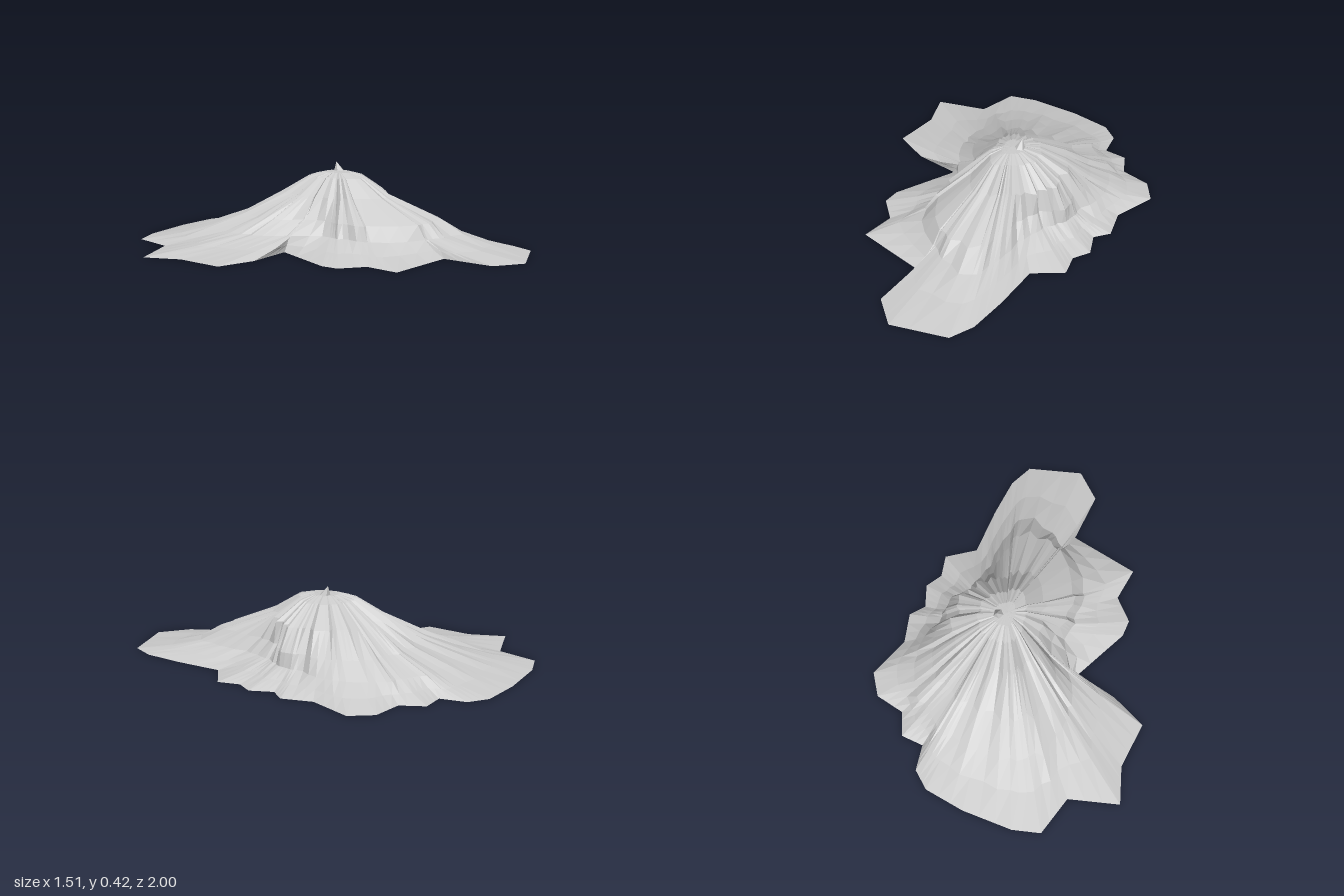
import * as THREE from 'three';

// Summit axis from which all ridges radiate
const CX = 0.2, CZ = -0.07;

// Main capes and bays of the shoreline, x,z pairs
const SHORE = [
  0.15, -1, 0.25, -0.94, 0.29, -0.81, 0.41, -0.82, 0.48, -0.71, 0.64, -0.7, 0.73, -0.6,
  0.68, -0.37, 0.74, -0.22, 0.69, -0.14, 0.75, -0.03, 0.71, 0.06, 0.75, 0.17, 0.62, 0.29,
  0.65, 0.54, 0.66, 0.75, 0.62, 0.88, 0.35, 1, 0.2, 0.9, 0.18, 0.63, -0.2, 0.61,
  -0.2, 0.43, -0.32, 0.34, -0.33, 0.25, -0.22, -0.09, -0.46, -0.08, -0.66, -0.14,
  -0.67, -0.39, -0.76, -0.57, -0.51, -0.68, -0.48, -0.9, -0.34, -0.96, -0.07, -1,
];

// Distance from the axis at evenly spaced bearings, turning from +x towards +z
const FOOT = [0.36, 0.33, 0.39, 0.7, 0.58, 0.52, 0.38, 0.3, 0.36, 0.53, 0.69, 0.68, 0.65, 0.58, 0.51, 0.39];
const FLANK = [0.35, 0.28, 0.32, 0.56, 0.53, 0.44, 0.34, 0.25, 0.25, 0.4, 0.5, 0.48, 0.47, 0.45, 0.41, 0.35];
const SHOULDER = [0.28, 0.24, 0.29, 0.2, 0.18, 0.27, 0.3, 0.28];

function seeded(seed) {
  return () => (seed = (seed * 16807) % 2147483647) / 2147483647;
}

// Radius at any bearing, between the listed ones
function radiusAt(list, angle) {
  const f = ((angle / (2 * Math.PI) + 1) % 1) * list.length;
  const i = Math.floor(f) % list.length;
  return THREE.MathUtils.lerp(list[i], list[(i + 1) % list.length], f - Math.floor(f));
}

function mountainGeometry() {
  const rand = seeded(71);
  const pos = [], index = [];
  const rows = 7, split = 3;
  const n = (SHORE.length / 2) * split;

  // Each spoke climbs from the shore through the contours to the summit rim
  for (let k = 0; k < n; k++) {
    const i = Math.floor(k / split) * 2, j = (i + 2) % SHORE.length;
    const h = (k % split) / split;
    const x = THREE.MathUtils.lerp(SHORE[i], SHORE[j], h) - CX;
    const z = THREE.MathUtils.lerp(SHORE[i + 1], SHORE[j + 1], h) - CZ;
    const shore = Math.hypot(x, z), angle = Math.atan2(z, x);
    const ridge = rand() * 2 - 1;

    const foot = Math.min(shore * 0.93, radiusAt(FOOT, angle) * (1 + 0.03 * ridge));
    const flank = Math.min(foot * 0.97, radiusAt(FLANK, angle) * (1 + 0.05 * ridge));
    const shoulder = radiusAt(SHOULDER, angle) * (1 + 0.1 * ridge);
    const upper = Math.min(flank * 0.96, shoulder);
    const contours = [
      [shore, 0],
      [THREE.MathUtils.lerp(shore, foot, 0.55), 0.035],
      [foot, 0.08],
      [flank, 0.15],
      [upper, 0.26],
      [upper * 0.52, 0.35],
      [upper * 0.24, 0.372],
    ];
    for (const [r, y] of contours) {
      pos.push(CX + (x / shore) * r, y, CZ + (z / shore) * r);
    }
  }
  const top = pos.length / 3;
  pos.push(CX, 0.375, CZ);

  for (let k = 0; k < n; k++) {
    const a = k * rows, b = ((k + 1) % n) * rows;
    for (let r = 0; r < rows - 1; r++) {
      index.push(a + r, a + r + 1, b + r, b + r, a + r + 1, b + r + 1);
    }
    index.push(a + rows - 1, top, b + rows - 1);
  }
  const indexed = new THREE.BufferGeometry();
  indexed.setAttribute('position', new THREE.Float32BufferAttribute(pos, 3));
  indexed.setIndex(index);
  const flat = indexed.toNonIndexed();
  flat.computeVertexNormals();
  return flat;
}

export function createModel() {
  const group = new THREE.Group();
  group.name = 'mountainIsland';
  const material = new THREE.MeshStandardMaterial({
    color: 0xcccccc, flatShading: true, side: THREE.DoubleSide,
  });

  const slopes = new THREE.Mesh(mountainGeometry(), material);
  slopes.name = 'mountainSlopes';
  group.add(slopes);

  // Small crag on the summit, leaning to the back
  const cragGeometry = new THREE.ConeGeometry(0.035, 0.06, 5, 1, true);
  const p = cragGeometry.attributes.position;
  for (let i = 0; i < p.count; i++) {
    if (p.getY(i) > 0) p.setZ(i, p.getZ(i) - 0.025);
  }
  const crag = new THREE.Mesh(cragGeometry, material);
  crag.name = 'summitCrag';
  crag.position.set(0.235, 0.39, -0.085);
  group.add(crag);

  return group;
}
